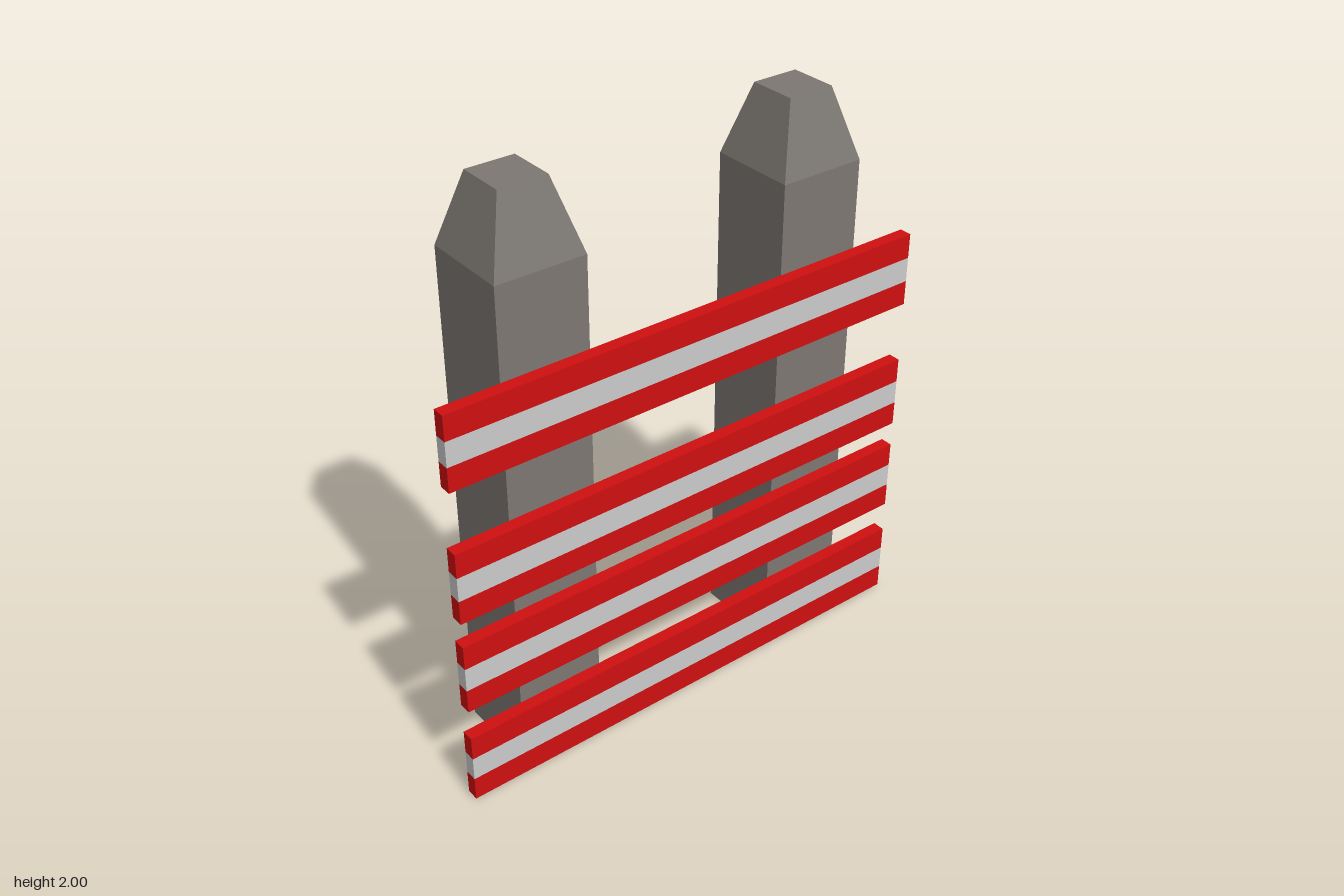
import * as THREE from 'three';

export function createModel() {
  const model = new THREE.Group();
  model.name = 'fenceBarrier';

  const stone = new THREE.MeshStandardMaterial({ color: 0x7d7873, flatShading: true });
  const red = new THREE.MeshStandardMaterial({ color: 0xd01010 });
  const white = new THREE.MeshStandardMaterial({ color: 0xe0e3e3 });

  // Square posts with a tapered, flat-topped cap: four-sided lathe turned 45 degrees
  const corner = (width) => width / Math.SQRT2;
  const profile = [
    [0, 0], [corner(0.305), 0], [corner(0.305), 1.765], [corner(0.165), 2], [0, 2],
  ].map(([r, y]) => new THREE.Vector2(r, y));
  const postGeometry = new THREE.LatheGeometry(profile, 4).rotateY(Math.PI / 4);

  for (const [name, z] of [['frontPost', 0.514], ['backPost', -0.514]]) {
    const post = new THREE.Mesh(postGeometry, stone);
    post.name = name;
    post.position.set(-0.0225, 0, z);
    model.add(post);
  }

  // Rails on the +x side, each made of three equal stripes
  const railHeight = 0.258;
  const stripeHeight = railHeight / 3;
  const stripeGeometry = new THREE.BoxGeometry(0.043, stripeHeight, 1.757);
  const stripes = [['lowerStripe', red], ['middleStripe', white], ['upperStripe', red]];

  [0.01, 0.381, 0.729, 1.203].forEach((bottom, i) => {
    const rail = new THREE.Group();
    rail.name = `rail${i + 1}`;
    rail.position.set(0.1515, bottom, 0);
    stripes.forEach(([name, material], j) => {
      const stripe = new THREE.Mesh(stripeGeometry, material);
      stripe.name = name;
      stripe.position.y = (j + 0.5) * stripeHeight;
      rail.add(stripe);
    });
    model.add(rail);
  });

  return model;
}
